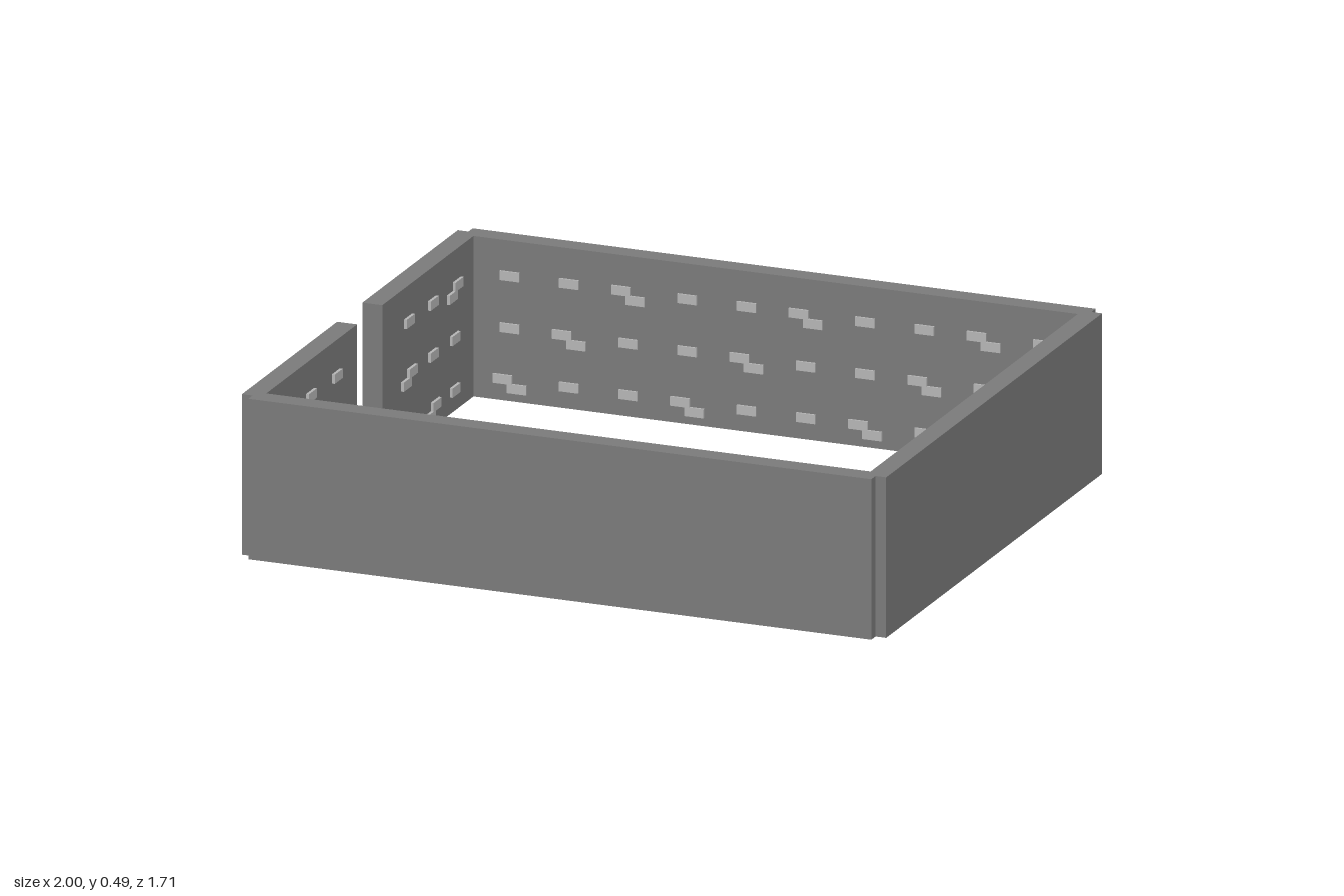
import * as THREE from 'three';

const H = 0.485;
const ROWS = [0.065, 0.221, 0.378];

export function createModel() {
  const model = new THREE.Group();
  const wallMat = new THREE.MeshStandardMaterial({ color: 0x7a7a7a, flatShading: true });
  const brickMat = new THREE.MeshStandardMaterial({ color: 0xb4b4b4, flatShading: true });

  // Box given by its extents on each axis
  function box(name, mat, x0, x1, y0, y1, z0, z1) {
    const mesh = new THREE.Mesh(new THREE.BoxGeometry(x1 - x0, y1 - y0, z1 - z0), mat);
    mesh.name = name;
    mesh.position.set((x0 + x1) / 2, (y0 + y1) / 2, (z0 + z1) / 2);
    model.add(mesh);
  }

  // Four walls, the one on -x split by a doorway
  box('frontWall', wallMat, -0.967, 0.967, 0, H, 0.792, 0.857);
  box('backWall', wallMat, -0.967, 0.967, 0, H, -0.832, -0.768);
  box('leftWall', wallMat, 0.938, 1, 0, H, -0.8, 0.825);
  box('rightWallRear', wallMat, -1, -0.938, 0, H, -0.8, -0.082);
  box('rightWallFront', wallMat, -1, -0.938, 0, H, 0.108, 0.825);

  // Raised bricks: single, or a staggered pair with the second one lower and shifted
  function bricks(name, axis, inner, outer, columns, shift, phase) {
    const lo = Math.min(inner, outer), hi = Math.max(inner, outer);
    const put = (u, y) => {
      const a = u - 0.03, b = u + 0.03, y0 = y - 0.014, y1 = y + 0.014;
      if (axis === 'x') box(name, brickMat, a, b, y0, y1, lo, hi);
      else box(name, brickMat, lo, hi, y0, y1, a, b);
    };
    columns.forEach((u, i) => ROWS.forEach((y, r) => {
      const pair = (i + r * 2 + phase) % 3 === 0;
      put(pair ? u - shift : u, y);
      if (pair) put(u + shift, y - 0.026);
    }));
  }

  const series = (start, step, n) => Array.from({ length: n }, (_, i) => start + i * step);
  bricks('backWallBrick', 'x', -0.762, -0.78, series(-0.825, 0.184, 10), 0.022, 0);
  bricks('frontWallBrick', 'x', 0.785, 0.80, series(-0.835, 0.184, 10), -0.022, 1);
  bricks('leftWallBrick', 'z', 0.928, 0.96, series(-0.635, 0.183, 8), 0.022, 0);
  bricks('rightWallRearBrick', 'z', -0.929, -0.95, [-0.62, -0.455, -0.275], 0.022, 2);
  bricks('rightWallFrontBrick', 'z', -0.929, -0.95, [0.268, 0.485, 0.65], 0.022, 1);

  // Brick ends showing past the rear corner
  for (const y of ROWS) box('cornerBrick', brickMat, 0.928, 0.96, y - 0.014, y + 0.014, -0.857, -0.79);

  return model;
}
